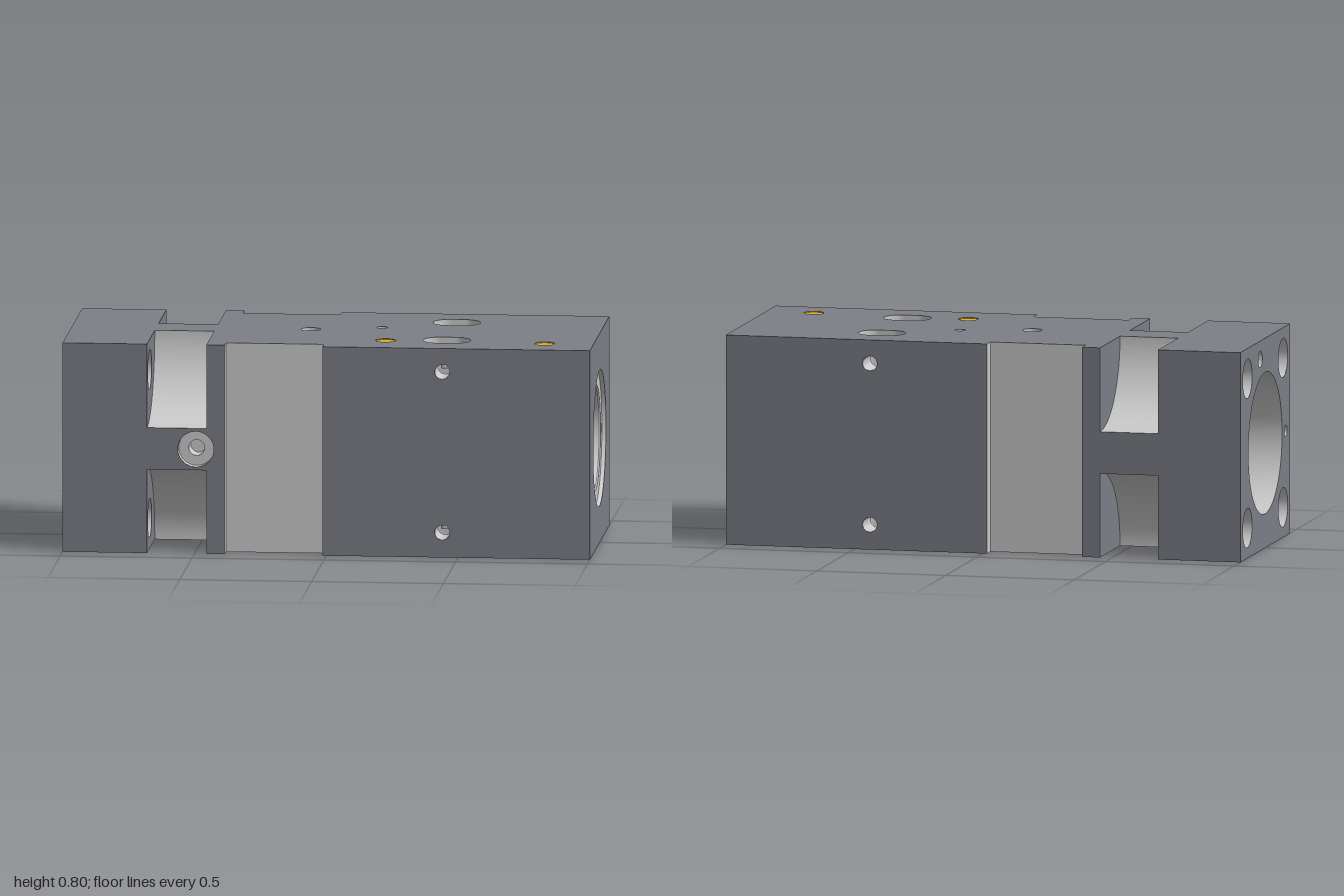
import * as THREE from 'three';
import { toCreasedNormals } from 'three/addons/utils/BufferGeometryUtils.js';

const DS = THREE.DoubleSide;
const dark = new THREE.MeshStandardMaterial({ color: 0x7c7f87, side: DS });
const light = new THREE.MeshStandardMaterial({ color: 0xcccccc, side: DS });
const gold = new THREE.MeshStandardMaterial({ color: 0xe0ac2a, side: DS });
const UP = new THREE.Vector3(0, 1, 0);

// Main dimensions
const H = 0.4;                       // half height and half depth
const POCKET = [-0.68, -0.455];      // x range of the corner pockets
const POCKET_R = 0.32;
const GROOVE = [-0.385, -0.015];     // x range of the side grooves
const GROOVE_Z = 0.345;
const BOLT = { at: 0.285, r: 0.075 };
const SLOT = { x: 0.44, z: 0.205, flat: 0.028, rx: 0.062, rz: 0.068 };
const CROSS = { x: 0.44, ys: [0.095, 0.71], r: 0.028 };

function add(parent, name, geometry, material) {
  const mesh = new THREE.Mesh(geometry, material);
  mesh.name = name;
  parent.add(mesh);
  return mesh;
}

const outline = (pts) => new THREE.Shape(pts.map(([x, y]) => new THREE.Vector2(x, y)));
const circle = (x, y, r) => new THREE.Path().absarc(x, y, r, 0, Math.PI * 2, true);

// Flat panel with holes
function panel(parent, name, shape, holes, material = dark) {
  shape.holes.push(...holes);
  return add(parent, name, new THREE.ShapeGeometry(shape, 32), material);
}

// Turned surface: profile of [radius, distance along dir]
function revolve(parent, name, profile, pos, dir, segments = 32, material = light) {
  const lathe = new THREE.LatheGeometry(profile.map(([r, t]) => new THREE.Vector2(r, t)), segments);
  const mesh = add(parent, name, toCreasedNormals(lathe, 0.5), material);
  mesh.position.set(...pos);
  mesh.quaternion.setFromUnitVectors(UP, new THREE.Vector3(...dir));
  return mesh;
}
const blindHole = (parent, name, pos, dir, r, depth) =>
  revolve(parent, name, [[r, 0], [r, -depth], [0, -depth]], pos, dir);

function slotPath(zc) {
  const { x, flat, rx, rz } = SLOT;
  const p = new THREE.Path();
  p.absellipse(x + flat, zc, rx, rz, -Math.PI / 2, Math.PI / 2, false);
  p.absellipse(x - flat, zc, rx, rz, Math.PI / 2, Math.PI * 1.5, false);
  p.closePath();
  return p;
}

// Plan outline with the pocket and groove notches
function planOutline() {
  const [p0, p1] = POCKET, [g0, g1] = GROOVE, w = H - POCKET_R;
  const side = [[-1, H], [p0, H], [p0, w], [p1, w], [p1, H], [g0, H], [g0, GROOVE_Z], [g1, GROOVE_Z], [g1, H], [1, H]];
  return outline([...side, ...side.map(([x, z]) => [x, -z]).reverse()]);
}

// One corner pocket with its bolt hole, built for the +y +z corner
function cornerPocket() {
  const g = new THREE.Group();
  g.name = 'cornerPocket';
  const [p0, p1] = POCKET;
  const curve = new THREE.CylinderGeometry(POCKET_R, POCKET_R, p1 - p0, 24, 1, true, Math.PI, Math.PI / 2);
  curve.rotateZ(Math.PI / 2).translate((p0 + p1) / 2, H, H);
  add(g, 'pocketCurve', curve, light);
  for (const x of POCKET) {
    const s = new THREE.Shape();
    s.moveTo(H, H);
    s.lineTo(H - POCKET_R, H);
    s.absarc(H, H, POCKET_R, Math.PI, Math.PI * 1.5, false);
    const wall = panel(g, 'pocketWall', s, x === p0 ? [circle(BOLT.at, BOLT.at, BOLT.r)] : []);
    wall.rotation.y = -Math.PI / 2;
    wall.position.x = x;
  }
  revolve(g, 'boltHole', [[BOLT.r, -1], [BOLT.r, p0]], [0, BOLT.at, BOLT.at], [1, 0, 0]);
  return g;
}

// Vertical slot walls, left open where the cross holes pass
function verticalSlot(parent, zc) {
  const { x, flat, rx, rz } = SLOT;
  for (const s of [1, -1]) {
    const arc = new THREE.CylinderGeometry(rz, rz, 2 * H, 20, 1, true, s > 0 ? 0 : Math.PI, Math.PI);
    arc.scale(rx / rz, 1, 1).translate(x + s * flat, H, zc);
    add(parent, 'slotEnd', arc, light);
    const [a, b] = CROSS.ys, r = CROSS.r;
    for (const [y0, y1] of [[0, a - r], [a + r, b - r], [b + r, 2 * H]]) {
      const flatWall = new THREE.PlaneGeometry(2 * flat, y1 - y0);
      if (s > 0) flatWall.rotateY(Math.PI);
      add(parent, 'slotSide', flatWall.translate(x, (y0 + y1) / 2, zc + s * rz), light);
    }
  }
}

export function createModel() {
  const model = new THREE.Group();
  model.name = 'spindleBlock';
  const plugs = [[0.21, 0.23], [0.815, 0.25]];
  const topHoles = [[-0.095, 0, 0.037], [0.17, -0.065, 0.02]];
  const slots = [SLOT.z, -SLOT.z];

  // Top and bottom faces
  const top = panel(model, 'topFace', planOutline(), [
    ...slots.map(slotPath),
    ...plugs.map(([x, z]) => circle(x, -z, 0.038)),
    ...topHoles.map(([x, z, r]) => circle(x, -z, r)),
  ]);
  top.rotation.x = -Math.PI / 2;
  top.position.y = 2 * H;
  const bottom = panel(model, 'bottomFace', planOutline(), [
    ...slots.map(slotPath), ...plugs.map(([x, z]) => circle(x, z, 0.026)),
  ]);
  bottom.rotation.x = Math.PI / 2;

  for (const [x, z] of plugs) {
    revolve(model, 'plug', [[0.038, 0], [0.038, -0.003], [0, -0.003]], [x, 0.8, z], [0, 1, 0], 32, gold);
    blindHole(model, 'bottomHole', [x, 0, z], [0, -1, 0], 0.026, 0.08);
  }
  for (const [x, z, r] of topHoles) blindHole(model, 'topHole', [x, 0.8, z], [0, 1, 0], r, 0.12);
  for (const z of slots) verticalSlot(model, z);

  // Front and back faces, side grooves
  const [p0, p1] = POCKET, [g0, g1] = GROOVE;
  const lo = POCKET_R, hi = 2 * H - POCKET_R;
  const portX = -0.495;
  for (const s of [1, -1]) {
    const face = (name, pts, holes) => {
      const m = panel(model, name, outline(pts.map(([x, y]) => [x * s, y])), holes);
      m.position.z = s * H;
      if (s < 0) m.rotation.y = Math.PI;
    };
    face('sideFaceHead', [[-1, 0], [p0, 0], [p0, lo], [p1, lo], [p1, 0], [g0, 0], [g0, 0.8], [p1, 0.8],
      [p1, hi], [p0, hi], [p0, 0.8], [-1, 0.8]], s > 0 ? [circle(portX, H, 0.068)] : []);
    face('sideFaceBody', [[g1, 0], [1, 0], [1, 0.8], [g1, 0.8]],
      CROSS.ys.map((y) => circle(CROSS.x * s, y, CROSS.r)));

    const floor = new THREE.PlaneGeometry(g1 - g0, 0.8);
    if (s < 0) floor.rotateY(Math.PI);
    add(model, 'grooveFloor', floor.translate((g0 + g1) / 2, H, s * GROOVE_Z), light);
    for (const [x, turn] of [[g0, 1], [g1, -1]]) {
      const wall = new THREE.PlaneGeometry(H - GROOVE_Z, 0.8).rotateY(turn * Math.PI / 2);
      add(model, 'grooveWall', wall.translate(x, H, s * (H + GROOVE_Z) / 2), light);
    }
  }
  revolve(model, 'frontPort', [[0.068, 0], [0.068, -0.04], [0.03, -0.04], [0.03, -0.12], [0, -0.12]],
    [portX, H, H], [0, 0, 1]);

  // Cross holes, interrupted by the slots
  const zIn = SLOT.z - SLOT.rz, zOut = SLOT.z + SLOT.rz;
  for (const y of CROSS.ys)
    for (const [z0, z1] of [[-H, -zOut], [-zIn, zIn], [zOut, H]])
      revolve(model, 'crossHole', [[CROSS.r, z0], [CROSS.r, z1]], [CROSS.x, y, 0], [0, 0, 1], 24);

  // End faces
  const square = () => outline([[-H, -H], [H, -H], [H, H], [-H, H]]);
  const noseFace = panel(model, 'noseEndFace', square(), [circle(0, 0, 0.26)]);
  noseFace.rotation.y = Math.PI / 2;
  noseFace.position.set(1, H, 0);
  const signs = [[1, 1], [1, -1], [-1, 1], [-1, -1]];
  const endHoles = [[-0.08, 0.33, 0.032], [0.33, 0, 0.022]];
  const rear = panel(model, 'mountEndFace', square(), [
    circle(0, 0, 0.27),
    ...signs.map(([a, b]) => circle(a * BOLT.at, b * BOLT.at, BOLT.r)),
    ...endHoles.map((h) => circle(...h)),
  ]);
  rear.rotation.y = -Math.PI / 2;
  rear.position.set(-1, H, 0);
  for (const [z, y, r] of endHoles) blindHole(model, 'endHole', [-1, H + y, z], [-1, 0, 0], r, 0.08);

  for (const [sy, sz] of signs) {
    const pocket = cornerPocket();
    pocket.position.y = H;
    pocket.scale.set(1, sy, sz);
    model.add(pocket);
  }

  // Stepped and tapered bore
  revolve(model, 'boreLip', [[0.26, 1], [0.255, 0.985]], [0, H, 0], [1, 0, 0], 64);
  revolve(model, 'bore', [[0.2, 0.985], [0.194, 0.98], [0.19, 0.965], [0.152, 0.6], [0.152, -0.3],
    [0.235, -0.3], [0.235, -0.85], [0.27, -0.85], [0.27, -1]], [0, H, 0], [1, 0, 0], 64);

  // Seat ring with three radial key grooves
  const ring = new THREE.Group();
  ring.name = 'seatRing';
  ring.position.set(0.985, H, 0);
  ring.rotation.y = Math.PI / 2;
  model.add(ring);
  const ringShape = new THREE.Shape().absarc(0, 0, 0.255, 0, Math.PI * 2, false);
  const keys = [0, 1, 2].map((i) => i * Math.PI * 2 / 3);
  const keyHole = (a) => new THREE.Path([[0.203, -0.018], [0.203, 0.018], [0.245, 0.018], [0.245, -0.018]]
    .map(([x, y]) => new THREE.Vector2(x, y).rotateAround(new THREE.Vector2(), a)));
  panel(ring, 'seatFace', ringShape, [circle(0, 0, 0.2), ...keys.map(keyHole)], light);
  for (const a of keys) {
    const trough = new THREE.CylinderGeometry(0.018, 0.018, 0.042, 12, 1, true, Math.PI / 2, Math.PI);
    trough.rotateZ(-Math.PI / 2).translate(0.224, 0, 0).rotateZ(a);
    add(ring, 'keyGroove', trough, light);
  }
  return model;
}
